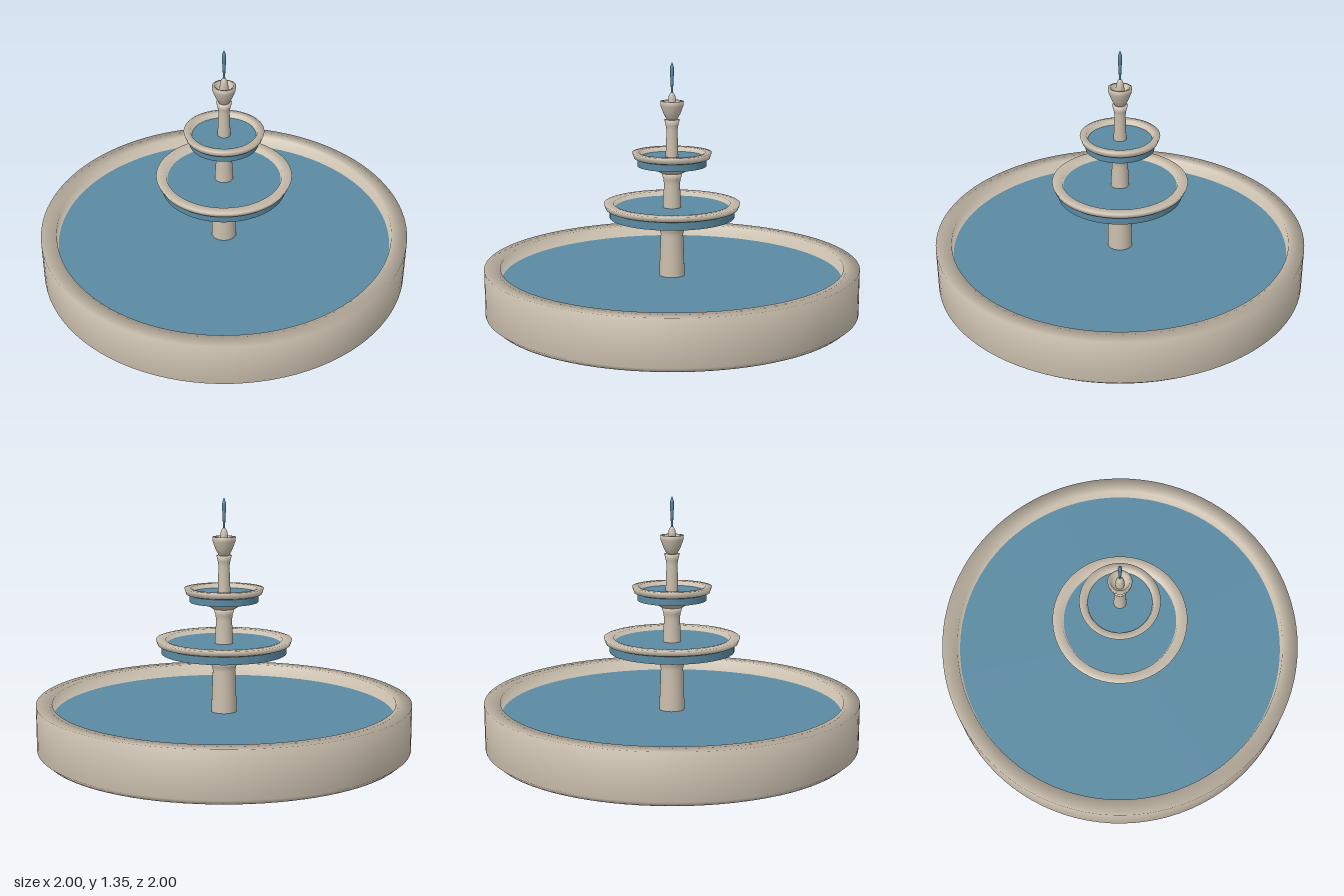
import * as THREE from 'three';

export function createModel() {
  const model = new THREE.Group();
  model.name = 'tieredFountain';

  const stone = new THREE.MeshStandardMaterial({ color: 0xcabfae });
  stone.name = 'stone';
  const water = new THREE.MeshStandardMaterial({ color: 0x5a8aa2 });
  water.name = 'water';

  function add(name, geometry, material, y = 0) {
    const mesh = new THREE.Mesh(geometry, material);
    mesh.name = name;
    mesh.position.y = y;
    model.add(mesh);
  }
  // Profiles run as [radius, height] from the underside up and over the rim
  function turned(name, profile, material, segments = 64) {
    const points = profile.map(([r, y]) => new THREE.Vector2(r, y));
    add(name, new THREE.LatheGeometry(points, segments), material);
  }
  function waterDisc(name, radius, bottom, top) {
    add(name, new THREE.CylinderGeometry(radius, radius, top - bottom, 64), water, (bottom + top) / 2);
  }

  // Ground pool
  turned('poolBasin', [[0, 0], [0.965, 0], [1, 0.03], [1, 0.272], [0.915, 0.272], [0.905, 0.17], [0, 0.17]], stone, 96);
  add('poolWater', new THREE.CircleGeometry(0.911, 96).rotateX(-Math.PI / 2), water, 0.205);

  // Lower tier
  turned('lowerColumn', [[0.068, 0.17], [0.066, 0.28], [0.06, 0.43], [0.066, 0.455], [0.08, 0.49], [0, 0.49]], stone, 32);
  turned('lowerBowl', [[0, 0.49], [0.08, 0.49], [0.21, 0.52], [0.32, 0.562], [0.352, 0.572], [0.363, 0.6],
    [0.31, 0.6], [0.3, 0.565], [0.2, 0.54], [0, 0.53]], stone);
  waterDisc('lowerBowlWater', 0.333, 0.525, 0.577);

  // Upper tier
  turned('middleColumn', [[0.05, 0.53], [0.048, 0.61], [0.042, 0.7], [0.046, 0.73], [0.056, 0.762], [0, 0.762]], stone, 32);
  turned('upperBowl', [[0, 0.762], [0.056, 0.762], [0.125, 0.8], [0.17, 0.832], [0.2, 0.842], [0.211, 0.874],
    [0.175, 0.874], [0.165, 0.838], [0.1, 0.81], [0, 0.8]], stone);
  waterDisc('upperBowlWater', 0.182, 0.8, 0.85);

  // Top column, cup and spout
  turned('topColumn', [[0.034, 0.8], [0.033, 0.88], [0.029, 0.99], [0.033, 1.015], [0.041, 1.047], [0, 1.047]], stone, 32);
  turned('finialCup', [[0, 1.04], [0.025, 1.042], [0.045, 1.08], [0.06, 1.12], [0.062, 1.145], [0.047, 1.145],
    [0.036, 1.1], [0, 1.09]], stone, 32);
  turned('spout', [[0.022, 1.09], [0.022, 1.145], [0.017, 1.172], [0.008, 1.19], [0, 1.192]], stone, 24);

  // Water jet
  turned('waterJet', [[0, 1.185], [0.005, 1.19], [0.007, 1.23], [0.011, 1.31], [0.009, 1.325], [0, 1.35]], water, 16);

  return model;
}
